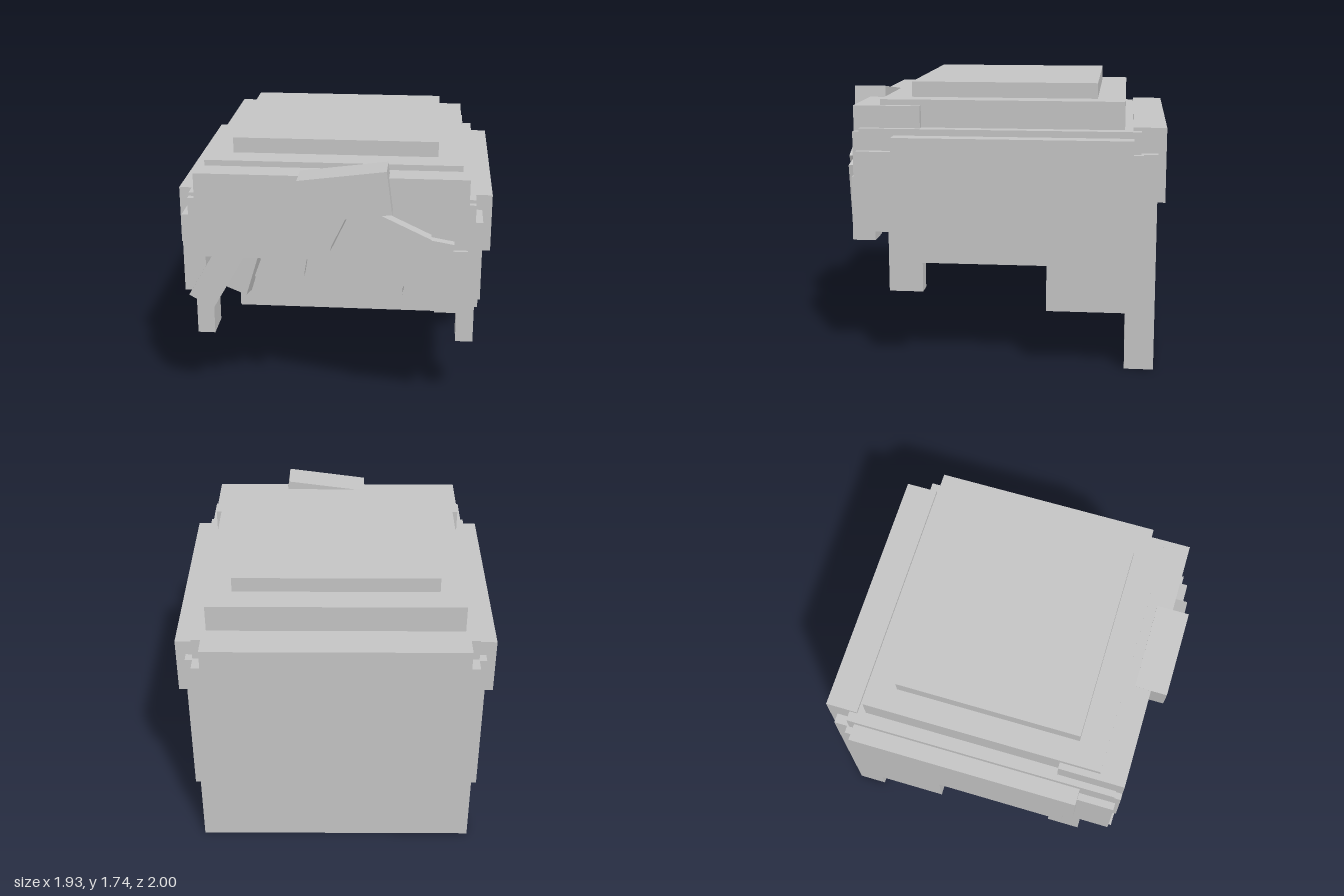
import * as THREE from 'three';

export function createModel() {
  const model = new THREE.Group();
  const hairGrey = new THREE.MeshStandardMaterial({ color: 0xc4c4c4 });
  hairGrey.name = 'hairGrey';

  // Box given by its limits on each axis
  function block(name, [x0, x1], [y0, y1], [z0, z1]) {
    const mesh = new THREE.Mesh(new THREE.BoxGeometry(x1 - x0, y1 - y0, z1 - z0), hairGrey);
    mesh.position.set((x0 + x1) / 2, (y0 + y1) / 2, (z0 + z1) / 2);
    mesh.name = name;
    model.add(mesh);
    return mesh;
  }

  // Tilted strand: centre, size, depth limits, roll in degrees and optional turn
  function lock(name, x, y, w, h, z, roll, turn = 0) {
    const mesh = block(name, [x - w / 2, x + w / 2], [y - h / 2, y + h / 2], z);
    mesh.rotation.set(0, THREE.MathUtils.degToRad(turn), THREE.MathUtils.degToRad(roll), 'ZYX');
  }

  // Stepped crown
  block('crownTop', [-0.63, 0.63], [1.62, 1.74], [-0.58, 0.57]);
  block('crownMiddle', [-0.78, 0.78], [1.45, 1.645], [-0.75, 0.74]);
  block('crownBase', [-0.86, 0.86], [1.14, 1.475], [-0.85, 0.86]);

  // Front bands
  block('frontUpperBand', [-0.82, 0.82], [1.38, 1.61], [0.49, 0.9]);
  block('frontLowerBand', [-0.86, 0.86], [1.08, 1.455], [0.78, 0.9]);

  // Back curtain and its band
  block('backCurtain', [-0.86, 0.86], [0, 1.34], [-0.95, -0.77]);
  block('backBand', [-0.8, 0.8], [1.04, 1.495], [-1, -0.8]);

  // Mirrored sides, stepped along the lower edge
  for (const [side, s] of [['left', 1], ['right', -1]]) {
    const span = (a, b) => (s > 0 ? [a, b] : [-b, -a]);
    block(side + 'SideFront', span(0.77, 0.905), [0.845, 1.34], [0.57, 0.875]);
    block(side + 'SideMiddle', span(0.77, 0.905), [0.655, 1.34], [-0.29, 0.57]);
    block(side + 'SideBack', span(0.77, 0.905), [0.37, 1.34], [-0.865, -0.29]);
    block(side + 'SideBand', span(0.82, 0.965), [1.075, 1.435], [-0.805, 0.645]);
    block(side + 'Sideburn', span(0.77, 0.88), [0.465, 1.1], [0.475, 0.685]);
  }

  // Swept fringe on the left
  lock('fringeKnot', 0.09, 1.515, 0.53, 0.265, [0.8, 1], 7.5);
  lock('fringeSweep', 0.303, 1.218, 0.5, 0.342, [0.8, 0.985], -25.5);
  lock('fringeEnd', 0.5875, 1.06, 0.24, 0.38, [0.79, 0.958], -10);
  block('fringeTip', [0.63, 0.82], [0.77, 1.17], [0.78, 0.922]);

  // Small strands on the right
  lock('strandOuter', -0.695, 0.967, 0.172, 0.44, [0.79, 0.893], -30);
  lock('strandSecond', -0.52, 1.03, 0.135, 0.38, [0.785, 0.88], -17, -12);
  lock('strandThird', -0.36, 1.075, 0.122, 0.3, [0.79, 0.885], -20);
  lock('strandInner', -0.21, 1.1, 0.13, 0.27, [0.79, 0.885], -9);

  return model;
}
